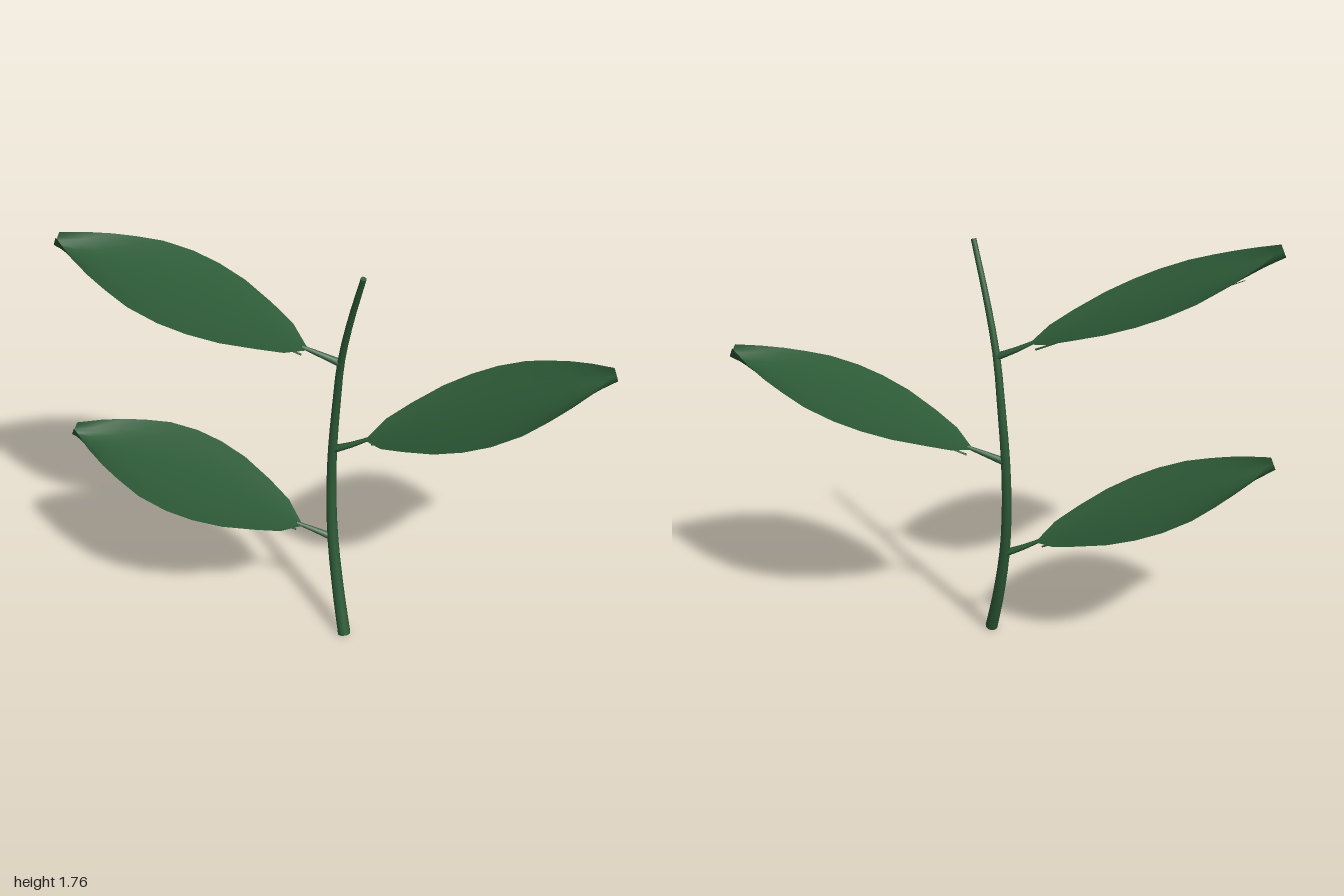
import * as THREE from 'three';

const green = new THREE.MeshStandardMaterial({ color: 0x2d5a37, side: THREE.DoubleSide });
green.name = 'leaf green';

const V = (p) => new THREE.Vector3(...p);

// Tube along smooth points, tapering from r0 to r1, with closed ends
function taperedTube(name, points, r0, r1, segments, sides) {
  const group = new THREE.Group();
  group.name = name;
  const curve = new THREE.CatmullRomCurve3(points.map(V));
  const geo = new THREE.TubeGeometry(curve, segments, 1, sides);
  const pos = geo.attributes.position;
  const v = new THREE.Vector3();
  for (let i = 0; i < pos.count; i++) {
    const t = Math.floor(i / (sides + 1)) / segments;
    const c = curve.getPointAt(t);
    v.fromBufferAttribute(pos, i).sub(c).multiplyScalar(r0 + (r1 - r0) * t).add(c);
    pos.setXYZ(i, v.x, v.y, v.z);
  }
  const body = new THREE.Mesh(geo, green);
  body.name = name + 'Body';
  group.add(body);
  for (const [t, r, sign] of [[0, r0, -1], [1, r1, 1]]) {
    const cap = new THREE.Mesh(new THREE.CircleGeometry(r, sides), green);
    cap.name = name + 'End';
    cap.position.copy(curve.getPointAt(t));
    cap.quaternion.setFromUnitVectors(new THREE.Vector3(0, 0, 1), curve.getTangentAt(t).multiplyScalar(sign));
    group.add(cap);
  }
  return group;
}

// Blade stations: distance along the blade, half width, rim lift
const stations = [
  [0, 0.008, 0], [0.075, 0.105, 0.012], [0.17, 0.168, 0.02], [0.29, 0.235, 0.026],
  [0.4, 0.268, 0.029], [0.5, 0.276, 0.031], [0.61, 0.256, 0.033], [0.7, 0.21, 0.035],
  [0.775, 0.163, 0.037], [0.85, 0.103, 0.04], [0.93, 0.022, 0.046],
];

// Cupped blade, rising along its length and curled up at the tip
function bladeGeometry() {
  const base = V([0.11, 0.052, -0.06]);
  const tip = V([0.99, 0.415, -0.368]);
  const length = 0.93, across = 8;
  const side = new THREE.Vector3(0.33, 0, 0.944);
  const up = new THREE.Vector3(-0.37, 0.92, 0.13);
  const geo = new THREE.PlaneGeometry(1, 1, across, stations.length - 1);
  const pos = geo.attributes.position;
  stations.forEach(([s, half, lift], row) => {
    const t = s / length;
    const mid = base.clone().lerp(tip, t).addScaledVector(side, 0.014 * Math.sin(Math.PI * t));
    for (let j = 0; j <= across; j++) {
      const u = (j / across) * 2 - 1;
      const p = mid.clone().addScaledVector(side, u * half).addScaledVector(up, lift * u * u);
      pos.setXYZ(row * (across + 1) + j, p.x, p.y, p.z);
    }
  });
  // Keep the front of each face on the upper side
  const a = geo.index.array;
  for (let i = 0; i < a.length; i += 3) [a[i + 1], a[i + 2]] = [a[i + 2], a[i + 1]];
  geo.computeVertexNormals();
  const n = geo.attributes.normal;
  if (n.getY(5 * (across + 1) + across / 2) < 0) {
    for (let i = 0; i < a.length; i += 3) [a[i + 1], a[i + 2]] = [a[i + 2], a[i + 1]];
    geo.computeVertexNormals();
  }
  return geo;
}

// Leaf with its stalk and the fine rib beneath it
function makeLeaf(name, blade, x, y, turn) {
  const leaf = new THREE.Group();
  leaf.name = name;
  const mesh = new THREE.Mesh(blade, green);
  mesh.name = 'leafBlade';
  leaf.add(
    mesh,
    taperedTube('leafStalk', [[-0.01, -0.003, -0.012], [0.06, 0.027, -0.036], [0.13, 0.062, -0.068]], 0.016, 0.007, 4, 6),
    taperedTube('leafRib', [[0.13, 0.028, -0.07], [0.5, 0.18, -0.19], [0.86, 0.328, -0.31]], 0.004, 0.0015, 4, 5),
  );
  leaf.position.set(x, y, 0);
  leaf.rotation.y = turn;
  return leaf;
}

export function createModel() {
  const plant = new THREE.Group();
  plant.name = 'leafySprig';

  // Bowed stem
  plant.add(taperedTube('stem', [
    [0.1, 0.007, 0.095], [0.05, 0.2, 0.055], [0.003, 0.45, 0.015], [-0.015, 0.67, -0.008],
    [-0.013, 0.87, -0.015], [0.008, 1.1, -0.008], [0.038, 1.3, 0.015], [0.09, 1.5, 0.046], [0.165, 1.725, 0.092],
  ], 0.027, 0.011, 20, 8));

  // Alternating leaves
  const blade = bladeGeometry();
  plant.add(
    makeLeaf('lowerRightLeaf', blade, -0.008, 0.44, Math.PI),
    makeLeaf('middleLeftLeaf', blade, 0, 0.87, 0),
    makeLeaf('upperRightLeaf', blade, 0.03, 1.298, Math.PI),
  );
  return plant;
}
